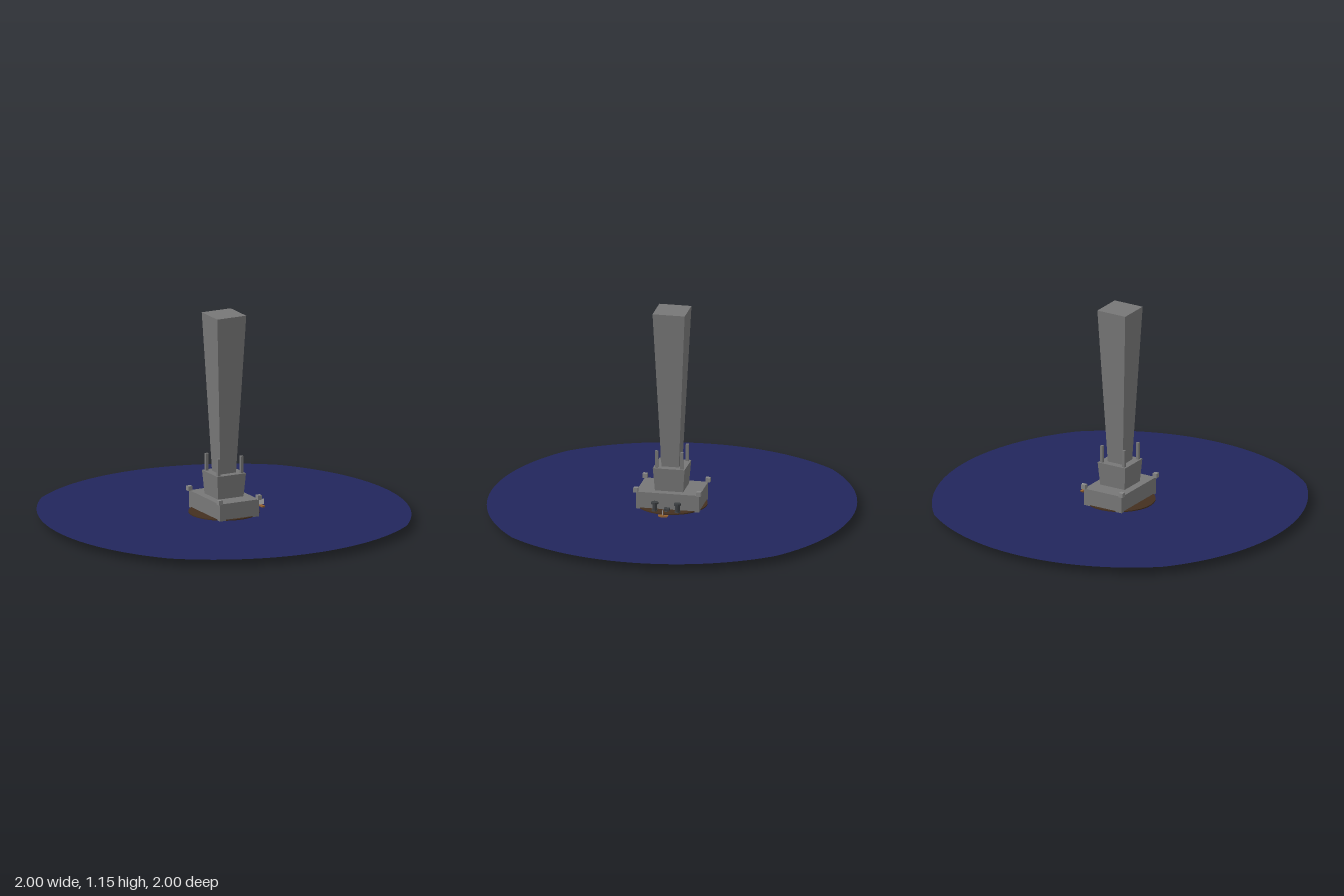
import * as THREE from 'three';

const mat = (color, extra = {}) => new THREE.MeshStandardMaterial({ color, flatShading: true, ...extra });

export function createModel() {
  const model = new THREE.Group();
  const stone = mat(0x777777), trim = mat(0x858585), dark = mat(0x3c3f42);
  const earth = mat(0x443020), wood = mat(0x9a6530);
  const sea = mat(0x22265c, { side: THREE.DoubleSide });
  const cloth = mat(0xcccccc, { side: THREE.DoubleSide });

  const add = (name, geometry, material, x, y, z, parent = model) => {
    const mesh = new THREE.Mesh(geometry, material);
    mesh.name = name;
    mesh.position.set(x, y, z);
    parent.add(mesh);
    return mesh;
  };
  const box = (w, h, d) => new THREE.BoxGeometry(w, h, d);

  // Square block with different half widths at bottom and top
  const taper = (bottom, top, h) => {
    const g = box(2, h, 2), p = g.attributes.position;
    for (let i = 0; i < p.count; i++) {
      const s = p.getY(i) > 0 ? top : bottom;
      p.setX(i, p.getX(i) * s);
      p.setZ(i, p.getZ(i) * s);
    }
    g.computeVertexNormals();
    return g;
  };

  // Water sheet: four shallow arcs that meet in soft corners
  const R = 1.12, half = Math.asin(0.73 / R), outline = new THREE.Shape();
  for (let k = 0; k < 4; k++) {
    const a = k * Math.PI / 2;
    outline.absarc(Math.cos(a) * (1 - R), Math.sin(a) * (1 - R), R, a - half, a + half, false);
  }
  const water = add('water', new THREE.ShapeGeometry(outline, 24), sea, 0, 0.04, 0);
  water.rotation.x = -Math.PI / 2;

  // Island disc
  add('island', new THREE.CylinderGeometry(0.193, 0.193, 0.01, 48), earth, 0, 0.041, 0);

  // Stacked tower
  add('base', box(0.24, 0.135, 0.35), stone, 0, 0.0675, 0);
  add('plinth', taper(0.078, 0.088, 0.13), stone, 0, 0.2, 0);
  add('shaft', taper(0.048, 0.089, 0.882), stone, 0, 0.706, 0);

  // Corner blocks, spires and harbour bollards
  for (const sx of [-1, 1]) for (const sz of [-1, 1]) {
    add('cornerBlock', box(0.025, 0.025, 0.025), trim, sx * 0.12, 0.147, sz * 0.174);
    add('spire', box(0.016, 0.1, 0.016), stone, sx * 0.07, 0.31, sz * 0.07);
  }
  for (const z of [-0.063, 0.063]) {
    const bollard = new THREE.Group();
    bollard.name = 'bollard';
    bollard.position.set(0.155, 0, z);
    model.add(bollard);
    add('foot', new THREE.CylinderGeometry(0.016, 0.018, 0.01, 10), dark, 0, 0.047, 0, bollard);
    add('stem', new THREE.CylinderGeometry(0.013, 0.013, 0.04, 10), dark, 0, 0.067, 0, bollard);
    add('cap', new THREE.CylinderGeometry(0.02, 0.02, 0.01, 10), dark, 0, 0.091, 0, bollard);
  }

  // Doorstep and jetty
  add('doorstep', box(0.035, 0.016, 0.03), dark, 0.136, 0.05, 0);
  const ramp = add('ramp', box(0.04, 0.006, 0.015), dark, 0.172, 0.04, 0);
  ramp.rotation.z = -0.3;
  add('jetty', box(0.045, 0.004, 0.008), wood, 0.203, 0.038, 0);

  // Small boat with a square sail
  const boat = new THREE.Group();
  boat.name = 'boat';
  boat.position.set(0.23, 0, 0);
  model.add(boat);
  const hull = new THREE.Shape([[-0.028, 0.05], [-0.018, 0.032], [0.018, 0.032], [0.028, 0.05]]
    .map(([x, y]) => new THREE.Vector2(x, y)));
  const hullGeo = new THREE.ExtrudeGeometry(hull, { depth: 0.015, bevelEnabled: false });
  hullGeo.translate(0, 0, -0.0075).rotateY(Math.PI / 2);
  add('hull', hullGeo, wood, 0, 0, 0, boat);
  add('mast', new THREE.CylinderGeometry(0.0015, 0.0015, 0.034, 6), wood, 0, 0.066, 0, boat);
  add('sail', new THREE.PlaneGeometry(0.03, 0.03), cloth, 0, 0.068, 0.002, boat);

  return model;
}
